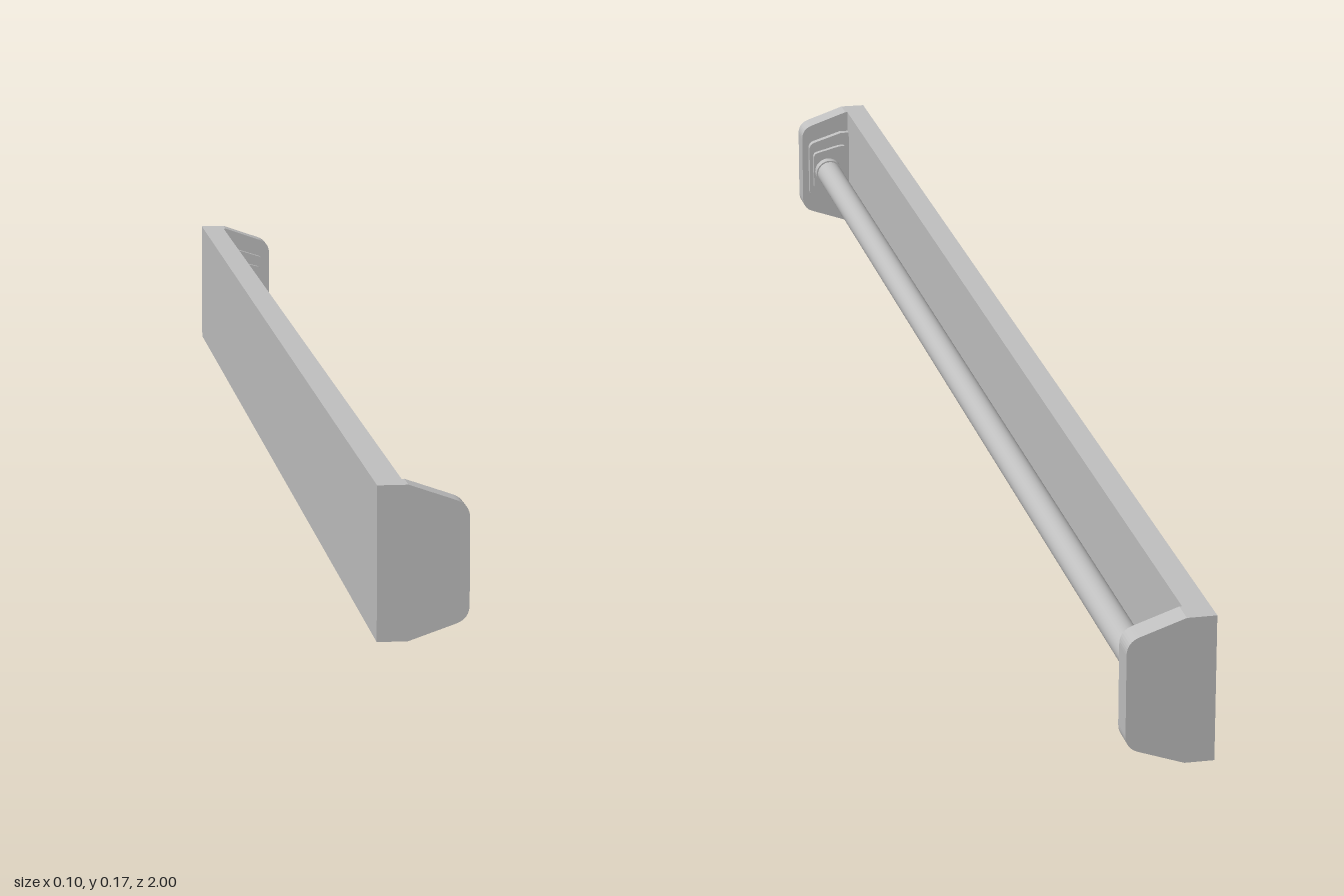
import * as THREE from 'three';

const MID_Y = 0.0835;

// Prism along z with a flat back, sloped top and bottom and rounded front corners
function prism(x0, xs, x1, halfY, halfFront, round, z0, z1) {
  const s = new THREE.Shape();
  const dx = x1 - xs, dy = halfY - halfFront, len = Math.hypot(dx, dy);
  const rx = x1 - (dx / len) * round, ry = halfFront + (dy / len) * round;
  s.moveTo(x0, -halfY);
  s.lineTo(xs, -halfY);
  s.lineTo(rx, -ry);
  s.quadraticCurveTo(x1, -halfFront, x1, -halfFront + round);
  s.lineTo(x1, halfFront - round);
  s.quadraticCurveTo(x1, halfFront, rx, ry);
  s.lineTo(xs, halfY);
  s.lineTo(x0, halfY);
  s.closePath();
  const g = new THREE.ExtrudeGeometry(s, { depth: z1 - z0, bevelEnabled: false, curveSegments: 8 });
  return g.translate(0, MID_Y, z0);
}

export function createModel() {
  const group = new THREE.Group();
  const grey = new THREE.MeshStandardMaterial({ color: 0xc0c0c0 });
  grey.name = 'lightGrey';

  const add = (name, geometry) => {
    const m = new THREE.Mesh(geometry, grey);
    m.name = name;
    group.add(m);
    return m;
  };

  // Flat mounting plate
  add('backPlate', new THREE.BoxGeometry(0.03, 0.167, 1.94)).position.set(-0.035, MID_Y, 0);

  // Round tube
  const tube = add('tube', new THREE.CylinderGeometry(0.0175, 0.0175, 1.9, 32));
  tube.rotation.x = Math.PI / 2;
  tube.position.set(0.013, MID_Y, 0);

  // Mirrored ends: cap, stepped socket and collar
  for (const side of [1, -1]) {
    const end = side > 0 ? 'front' : 'back';
    const place = (a, b) => (side > 0 ? [a, b] : [-b, -a]);
    add(end + 'EndCap', prism(-0.05, -0.017, 0.048, 0.0835, 0.061, 0.015, ...place(0.968, 1)));
    add(end + 'SocketBase', prism(-0.02, -0.008, 0.039, 0.055, 0.04, 0.008, ...place(0.958, 0.969)));
    add(end + 'Socket', prism(-0.012, -0.004, 0.034, 0.037, 0.027, 0.006, ...place(0.95, 0.959)));
    const collar = add(end + 'Collar', new THREE.CylinderGeometry(0.0195, 0.0195, 0.014, 32));
    collar.rotation.x = Math.PI / 2;
    collar.position.set(0.013, MID_Y, side * 0.944);
  }
  return group;
}
